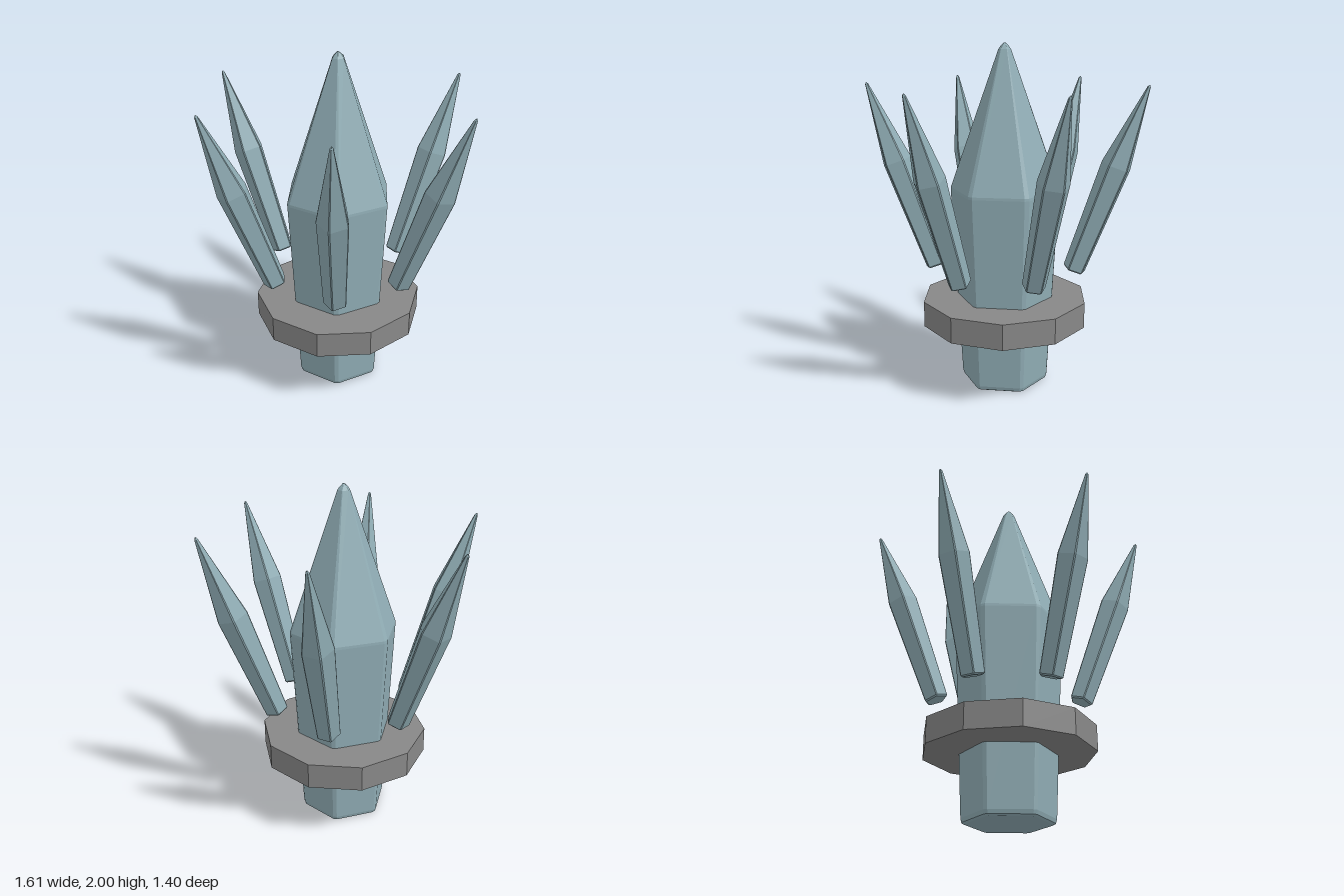
import * as THREE from 'three';

// Faceted crystal: rings of [radius, y], each an n-sided polygon with narrowly bevelled corners
function crystalGeometry(sides, bevel, rings) {
  const count = sides * 2, pos = [], index = [];
  const corner = (k) => {
    const a = (k / sides) * Math.PI * 2;
    return new THREE.Vector2(Math.cos(a), Math.sin(a));
  };
  for (const [r, y] of rings) {
    for (let k = 0; k < sides; k++) {
      for (const step of [-1, 1]) {
        const p = corner(k).lerp(corner(k + step), bevel).multiplyScalar(r);
        pos.push(p.x, y, p.y);
      }
    }
  }
  for (let i = 0; i < rings.length - 1; i++) {
    for (let j = 0; j < count; j++) {
      const a = i * count + j, b = i * count + (j + 1) % count;
      index.push(a, a + count, b, b, a + count, b + count);
    }
  }
  // End caps
  const last = (rings.length - 1) * count, c = rings.length * count;
  pos.push(0, rings[0][1], 0, 0, rings[rings.length - 1][1], 0);
  for (let j = 0; j < count; j++) {
    const k = (j + 1) % count;
    index.push(c, j, k, c + 1, last + k, last + j);
  }
  const g = new THREE.BufferGeometry();
  g.setAttribute('position', new THREE.Float32BufferAttribute(pos, 3));
  g.setIndex(index);
  return faceted(g);
}

function faceted(geometry) {
  const g = geometry.toNonIndexed();
  g.computeVertexNormals();
  return g;
}

export function createModel() {
  const group = new THREE.Group();
  group.name = 'crystalCluster';
  const crystal = new THREE.MeshStandardMaterial({ color: 0x90adb5 });
  crystal.name = 'paleBlueCrystal';
  const stone = new THREE.MeshStandardMaterial({ color: 0x888888 });
  stone.name = 'greyStone';

  const add = (name, geometry, material) => {
    const mesh = new THREE.Mesh(geometry, material);
    mesh.name = name;
    group.add(mesh);
    return mesh;
  };

  // Large six-sided crystal
  add('mainCrystal', crystalGeometry(6, 0.05, [
    [0.24, 0], [0.256, 0.008], [0.263, 0.03], [0.323, 1.165], [0.322, 1.18],
    [0.036, 1.965], [0.025, 1.98], [0.004, 2],
  ]), crystal);

  // Ten-sided collar
  const collar = new THREE.CylinderGeometry(0.49, 0.49, 0.15, 10);
  collar.rotateY(Math.PI / 2);
  collar.translate(0, 0.455, 0);
  add('collar', faceted(collar), stone);

  // Six five-sided shards floating around it, leaning outwards
  const shardGeometry = crystalGeometry(5, 0.05, [
    [0.062, 0], [0.07, 0.008], [0.091, 0.66], [0.01, 1.132], [0.003, 1.143],
  ]);
  const up = new THREE.Vector3(0, 1, 0);
  const lean = THREE.MathUtils.degToRad(20);
  for (let i = 0; i < 6; i++) {
    const a = (i * Math.PI) / 3;
    const out = new THREE.Vector3(Math.cos(a), 0, Math.sin(a));
    const shard = add('shard' + (i + 1), shardGeometry, crystal);
    shard.position.copy(out).multiplyScalar(0.41).setY(0.701);
    const dir = out.multiplyScalar(Math.sin(lean)).setY(Math.cos(lean));
    shard.quaternion.setFromUnitVectors(up, dir);
  }
  return group;
}
